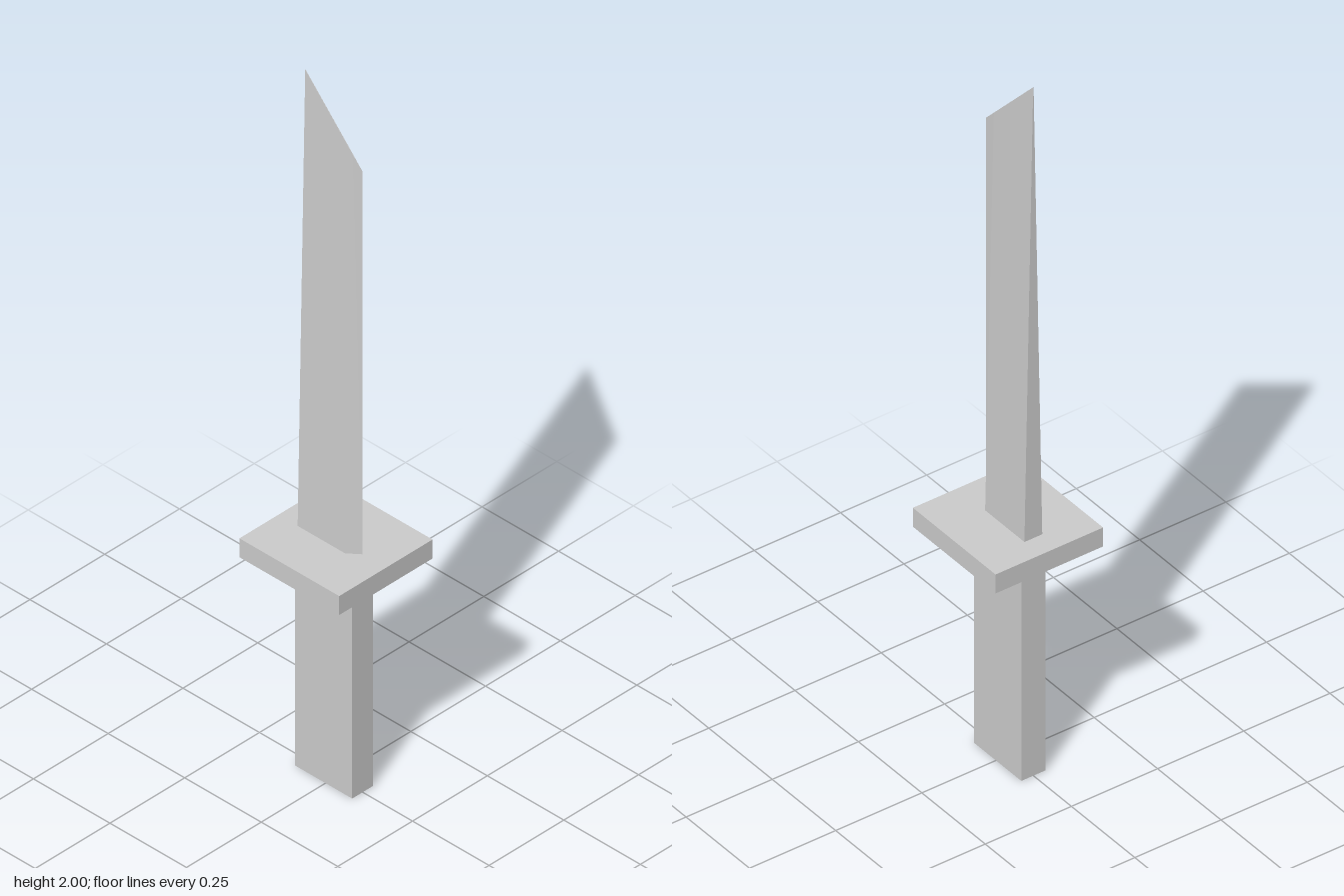
import * as THREE from 'three';

const material = new THREE.MeshStandardMaterial({ color: 0xcccccc, flatShading: true });

function box(name, x0, x1, y0, y1, halfDepth) {
  const mesh = new THREE.Mesh(new THREE.BoxGeometry(x1 - x0, y1 - y0, halfDepth * 2), material);
  mesh.position.set((x0 + x1) / 2, (y0 + y1) / 2, 0);
  mesh.name = name;
  return mesh;
}

// Five-sided section: flat spine, two flat sides, bevels meeting at the cutting edge
function section(halfDepth, spineY, bevelY, edgeY) {
  return [
    [-0.1, spineY, halfDepth],
    [0.055, bevelY, halfDepth],
    [0.087, edgeY, 0],
    [0.055, bevelY, -halfDepth],
    [-0.1, spineY, -halfDepth],
  ];
}

// Blade tapers from the guard to a slanted, nearly knife-thin end
function bladeGeometry() {
  const base = section(0.026, 0.685, 0.685, 0.685);
  const tip = section(0.0006, 2, 1.834, 1.8);
  const n = base.length;
  const index = [];
  for (let i = 0; i < n; i++) {
    const j = (i + 1) % n;
    // Diagonals mirror between the front and back sides
    if (i < 2) index.push(i, j, n + i, j, n + j, n + i);
    else index.push(i, j, n + j, i, n + j, n + i);
  }
  for (let i = 1; i < n - 1; i++) {
    index.push(0, i + 1, i, n, n + i, n + i + 1);
  }
  const geometry = new THREE.BufferGeometry();
  geometry.setAttribute('position', new THREE.Float32BufferAttribute([...base, ...tip].flat(), 3));
  geometry.setIndex(index);
  const flat = geometry.toNonIndexed();
  flat.computeVertexNormals();
  return flat;
}

export function createModel() {
  const group = new THREE.Group();
  group.name = 'knife';

  const blade = new THREE.Mesh(bladeGeometry(), material);
  blade.name = 'blade';

  group.add(
    box('handle', -0.1, 0.087, 0, 0.635, 0.035),
    box('guard', -0.163, 0.163, 0.635, 0.69, 0.156),
    blade,
  );
  return group;
}
